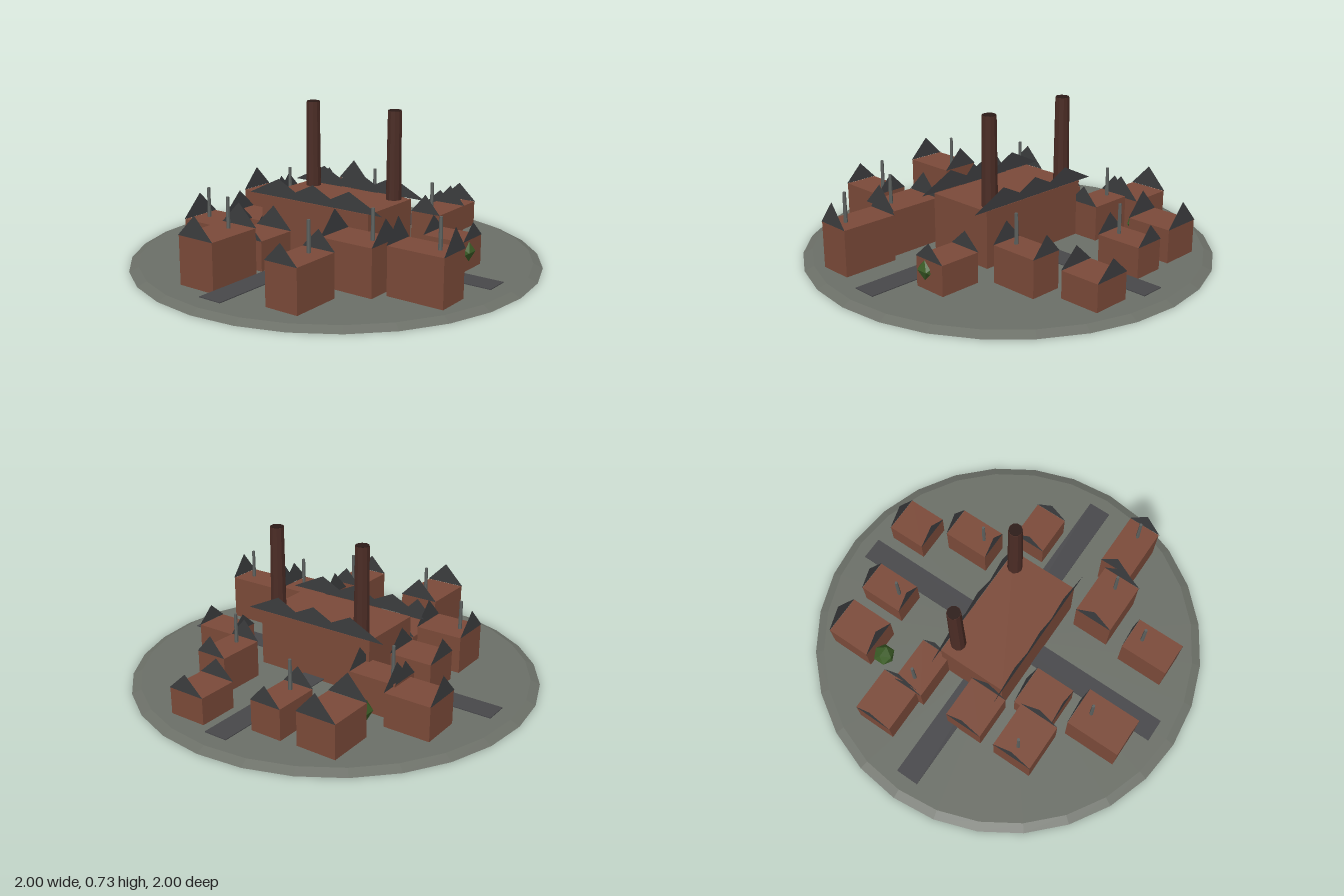
import * as THREE from 'three';

const mat = (name, color, side = THREE.FrontSide) => {
  const m = new THREE.MeshStandardMaterial({ color, side, flatShading: true });
  m.name = name;
  return m;
};

export function createModel() {
  const stone = mat('ground stone', 0x6b6f67);
  const asphalt = mat('asphalt', 0x47474a);
  const brick = mat('brick', 0x7b4a39);
  const slate = mat('slate', 0x3c3d3f, THREE.DoubleSide);
  const darkBrick = mat('dark brick', 0x4b2c25);
  const soot = mat('soot', 0x2c1b17);
  const metal = mat('stovepipe metal', 0x5c605e);
  const leaf = mat('leaf', 0x3b5c26);

  const town = new THREE.Group();
  town.name = 'factoryTown';
  const add = (parent, name, geometry, material, x, y, z) => {
    const mesh = new THREE.Mesh(geometry, material);
    mesh.name = name;
    mesh.position.set(x, y, z);
    parent.add(mesh);
    return mesh;
  };

  // Upright flat triangle standing on its base centre
  const gable = (parent, halfWidth, height, x, y, z, turn = 0) => {
    const shape = new THREE.Shape();
    shape.moveTo(-halfWidth, 0);
    shape.lineTo(halfWidth, 0);
    shape.lineTo(0, height);
    add(parent, 'gable', new THREE.ShapeGeometry(shape), slate, x, y, z).rotation.y = turn;
  };

  // Ground disc and crossing roads
  const base = 0.02;
  add(town, 'ground', new THREE.CylinderGeometry(0.955, 1, base, 28), stone, 0, base / 2, 0);
  add(town, 'roadAcross', new THREE.BoxGeometry(1.77, 0.004, 0.12), asphalt, 0, 0.032, 0);
  add(town, 'roadAlong', new THREE.BoxGeometry(0.12, 0.004, 1.77), asphalt, 0, 0.033, 0);

  // Factory hall with three gables at the front and back
  const hall = new THREE.Group();
  hall.name = 'factoryHall';
  town.add(hall);
  add(hall, 'hallWalls', new THREE.BoxGeometry(0.635, 0.28, 0.36), brick, 0, 0.16, 0);
  for (const z of [-0.181, 0.181])
    for (const x of [-0.21, 0, 0.21]) gable(hall, 0.185, 0.09, x, 0.302, z);

  // Factory chimneys
  for (const x of [-0.24, 0.25]) {
    add(hall, 'chimney', new THREE.CylinderGeometry(0.034, 0.042, 0.71, 10), darkBrick, x, 0.375, -0.13);
    add(hall, 'chimneyMouth', new THREE.CylinderGeometry(0.032, 0.032, 0.004, 10), soot, x, 0.731, -0.13);
  }

  // Houses: x from, x to, z from, z to, wall top, roof rise, ridge axis, pipe offset along the ridge
  const houses = [
    [-0.52, -0.32, -0.73, -0.50, 0.185, 0.115, 'z'],
    [-0.24, -0.08, -0.74, -0.51, 0.17, 0.09, 'z', 0.06],
    [0.12, 0.31, -0.83, -0.63, 0.15, 0.09, 'z'],
    [0.24, 0.40, -0.55, -0.31, 0.20, 0.095, 'z', 0.06],
    [0.45, 0.66, -0.26, -0.09, 0.165, 0.08, 'x'],
    [-0.76, -0.53, -0.38, -0.18, 0.185, 0.11, 'x'],
    [-0.54, -0.30, -0.31, -0.15, 0.195, 0.09, 'x', -0.06],
    [-0.54, -0.32, 0.00, 0.20, 0.17, 0.10, 'x'],
    [-0.54, -0.30, 0.28, 0.49, 0.205, 0.11, 'x', -0.06],
    [-0.30, -0.09, 0.24, 0.45, 0.165, 0.11, 'z'],
    [-0.26, -0.06, 0.52, 0.80, 0.25, 0.105, 'z', -0.07],
    [0.22, 0.39, 0.53, 0.78, 0.225, 0.09, 'z', -0.06],
    [0.25, 0.52, 0.24, 0.44, 0.245, 0.11, 'x', 0.07],
    [0.55, 0.83, 0.20, 0.37, 0.245, 0.115, 'x', 0.07],
  ];
  for (const [x0, x1, z0, z1, top, rise, axis, pipe] of houses) {
    const house = new THREE.Group();
    house.name = 'house';
    house.position.set((x0 + x1) / 2, 0, (z0 + z1) / 2);
    town.add(house);
    const w = x1 - x0, d = z1 - z0, alongX = axis === 'x';
    add(house, 'houseWalls', new THREE.BoxGeometry(w, top - base, d), brick, 0, (top + base) / 2, 0);
    for (const s of [-1, 1]) {
      if (alongX) gable(house, d * 0.52, rise, s * (w / 2 + 0.001), top, 0, Math.PI / 2);
      else gable(house, w * 0.52, rise, 0, top, s * (d / 2 + 0.001));
    }
    if (pipe !== undefined)
      add(house, 'stovepipe', new THREE.CylinderGeometry(0.008, 0.01, 0.17, 6), metal,
        alongX ? pipe : 0, top + 0.06, alongX ? 0 : pipe);
  }

  // Trees
  for (const [x, z] of [[-0.455, -0.45], [0.565, 0.285], [0.632, -0.145]]) {
    const tree = new THREE.Group();
    tree.name = 'tree';
    tree.position.set(x, 0, z);
    town.add(tree);
    add(tree, 'trunk', new THREE.CylinderGeometry(0.009, 0.012, 0.07, 6), darkBrick, 0, 0.05, 0);
    add(tree, 'crown', new THREE.IcosahedronGeometry(0.055, 0), leaf, 0, 0.11, 0);
  }
  return town;
}
